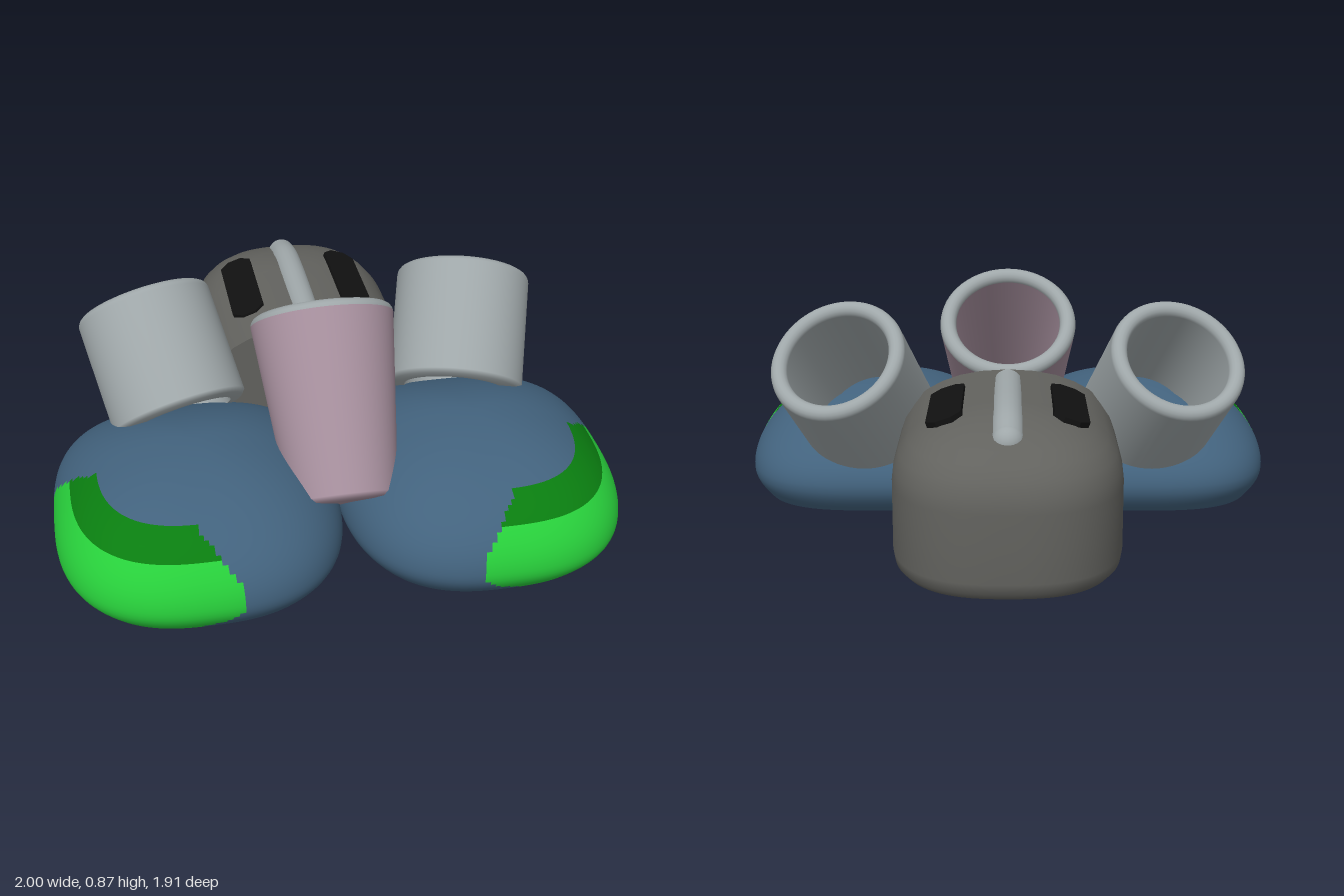
import * as THREE from 'three';

const paint = (name, color) => {
  const m = new THREE.MeshStandardMaterial({ color });
  m.name = name;
  return m;
};

// Skin over rows of points running bottom to top; pick(row, col) selects a material slot
function loft(rows, closed, pick = () => 0, slots = 1) {
  const n = rows[0].length, lists = Array.from({ length: slots }, () => []);
  for (let i = 0; i < rows.length - 1; i++) {
    for (let j = 0; j < (closed ? n : n - 1); j++) {
      const k = (j + 1) % n, a = i * n + j, b = a + n, c = i * n + k, d = c + n;
      lists[pick(i, j)].push(a, b, c, b, d, c);
    }
  }
  const g = new THREE.BufferGeometry();
  g.setAttribute('position', new THREE.Float32BufferAttribute(rows.flat(2), 3));
  g.setIndex(lists.flat());
  let start = 0;
  lists.forEach((l, i) => { g.addGroup(start, l.length, i); start += l.length; });
  g.computeVertexNormals();
  return g;
}

const superRadius = (a, n) =>
  Math.pow(Math.abs(Math.cos(a)) ** n + Math.abs(Math.sin(a)) ** n, -1 / n);

// Pebble-shaped pod with flat underside; the outer front corner is green
function podGeometry(side) {
  const SEG = 160, profile = [[0, 0.03], [0.9, 0.03], [0.9, 0.03]];
  for (let i = 1; i <= 6; i++) profile.push([0.9 + 0.1 * Math.sin(i * Math.PI / 12), 0.03 + i / 60]);
  for (let i = 1; i <= 36; i++) {
    const p = i * Math.PI / 72;
    profile.push([Math.cos(p), 0.13 + 0.31 * Math.sin(p)]);
  }
  const angle = (j) => j / SEG * Math.PI * 2;
  const rho = (a) => superRadius(a, Math.sin(a) > 0 ? 2.6 : 3);
  const rows = profile.map(([r, y]) => Array.from({ length: SEG }, (_, j) => {
    const a = angle(j), w = rho(a) * r * Math.sin(a);
    const drop = y > 0.13 ? 1 - 0.2 * THREE.MathUtils.smoothstep(-w, 0, 1) : 1;
    return [side * 0.5 + 0.5 * rho(a) * r * Math.cos(a), 0.13 + (y - 0.13) * drop, 0.4 + 0.55 * w];
  }));
  const pick = (i, j) => {
    if (i < 2) return 0;
    const y = (profile[i][1] + profile[i + 1][1]) / 2, a = angle(j + 0.5);
    const t = y > 0.15 ? (y - 0.15) / 0.21 : (0.15 - y) / 0.12;
    const reach = rho(a) * (side * Math.cos(a) + Math.sin(a));
    if (y > 0.36 || reach < 0.78 + 0.33 * t * t) return 0;
    return y > 0.29 ? 2 : 1;
  };
  return loft(rows, true, pick, 3);
}

export function createModel() {
  const model = new THREE.Group();
  const blue = paint('slate blue', 0x42627d);
  const green = paint('bright green', 0x28cf3b);
  const darkGreen = paint('dark green', 0x0a7d10);
  const lightGrey = paint('light grey', 0x9fa7a9);
  const pink = paint('dusty pink', 0xa58e9c);
  const darkGrey = paint('dark grey', 0x62625e);
  const black = paint('black', 0x111111);

  const add = (name, geometry, material, parent = model) => {
    const mesh = new THREE.Mesh(geometry, material);
    mesh.name = name;
    parent.add(mesh);
    return mesh;
  };

  // Front pods
  add('leftPod', podGeometry(1), [blue, green, darkGreen]);
  add('rightPod', podGeometry(-1), [blue, green, darkGreen]);

  // Open tube with rounded lip, standing on base and leaning along axis
  function tube(name, base, axis, length, bottomR, topR, material, capped) {
    const g = new THREE.Group();
    g.name = name;
    const lathe = (pts) => new THREE.LatheGeometry(pts.map((p) => new THREE.Vector2(...p)), 64);
    const end = length - 0.03, wall = 0.06;
    add('outerWall', lathe([[bottomR - wall, 0], [bottomR - 0.015, 0.004], [bottomR, 0.02], [topR, end]]), material, g);
    add('innerWall', lathe([[topR - wall, end], [bottomR - wall, 0]]), material, g);
    const lip = add('lip', new THREE.TorusGeometry(topR - wall / 2, wall / 2, 16, 64), lightGrey, g);
    lip.rotation.x = Math.PI / 2;
    lip.position.y = end;
    if (capped) {
      add('floor', lathe([[0, 0], [bottomR - wall, 0]]), material, g);
      add('innerFloor', lathe([[bottomR - wall, 0.02], [0, 0.02]]), material, g);
    }
    g.position.set(...base);
    g.quaternion.setFromUnitVectors(new THREE.Vector3(0, 1, 0), new THREE.Vector3(...axis).normalize());
    model.add(g);
  }
  tube('centreTube', [0, 0.21, 0.56], [0, 0.75, -0.66], 0.68, 0.19, 0.255, pink, true);
  for (const s of [1, -1]) {
    tube(s > 0 ? 'leftTube' : 'rightTube', [s * 0.515, 0.33, 0.1], [s * 0.31, 1, -0.95],
      0.45, 0.25, 0.25, lightGrey, false);
  }

  // Rear body: domed loaf with a flat front and rounded back
  const levels = [[0, 0.005], [0.5, 0.008], [0.8, 0.015], [0.93, 0.03], [0.985, 0.055], [1, 0.09],
    [1, 0.2], [1, 0.32], [0.985, 0.37], [0.94, 0.42], [0.86, 0.46], [0.76, 0.493], [0.62, 0.523],
    [0.45, 0.547], [0.25, 0.562], [0, 0.568]];
  const front = -0.07, mid = -0.5;
  const bodyRows = levels.map(([s, y]) => {
    const row = [];
    for (let j = 0; j <= 48; j++) {
      const a = Math.PI + j / 48 * Math.PI, r = superRadius(a, 2.6) * s;
      row.push([0.39 * r * Math.cos(a), y, mid + 0.46 * r * Math.sin(a)]);
    }
    const sides = [0, 1, 2, 3].map((k) => front + (mid - front) * k / 4);
    return [...sides.map((z) => [-0.39 * s, y, z]), ...row,
      ...sides.reverse().map((z) => [0.39 * s, y, z])];
  });
  add('rearBody', loft(bodyRows, false), darkGrey);
  const face = new THREE.Shape([
    ...levels.map(([s, y]) => new THREE.Vector2(0.39 * s, y)),
    ...levels.slice(1, -1).reverse().map(([s, y]) => new THREE.Vector2(-0.39 * s, y)),
  ]);
  add('rearBodyFront', new THREE.ShapeGeometry(face), darkGrey).position.z = front;

  // Ridge along the top of the body
  const ridgePath = new THREE.CatmullRomCurve3([[0.535, -0.16], [0.54, -0.35], [0.54, -0.55],
    [0.53, -0.67], [0.505, -0.77]].map(([y, z]) => new THREE.Vector3(0, y, z)));
  add('ridge', new THREE.TubeGeometry(ridgePath, 40, 0.053, 20), lightGrey);
  for (const t of [0, 1]) {
    add('ridgeEnd', new THREE.SphereGeometry(0.053, 20, 14), lightGrey).position.copy(ridgePath.getPoint(t));
  }

  // Slots either side of the ridge
  const w = 0.062, h = 0.215, c = 0.035;
  const slot = new THREE.Shape([[-w, c - h], [c - w, -h], [w - c, -h], [w, c - h],
    [w, h - c], [w - c, h], [c - w, h], [-w, h - c]].map((p) => new THREE.Vector2(...p)));
  const slotGeometry = new THREE.ExtrudeGeometry(slot, { depth: 0.03, bevelEnabled: false });
  slotGeometry.translate(0, 0, -0.015).rotateX(-Math.PI / 2);
  for (const s of [1, -1]) {
    const m = add(s > 0 ? 'leftSlot' : 'rightSlot', slotGeometry, black);
    m.position.set(s * 0.208, 0.53, -0.445);
    m.rotation.z = -s * 0.33;
  }
  return model;
}
